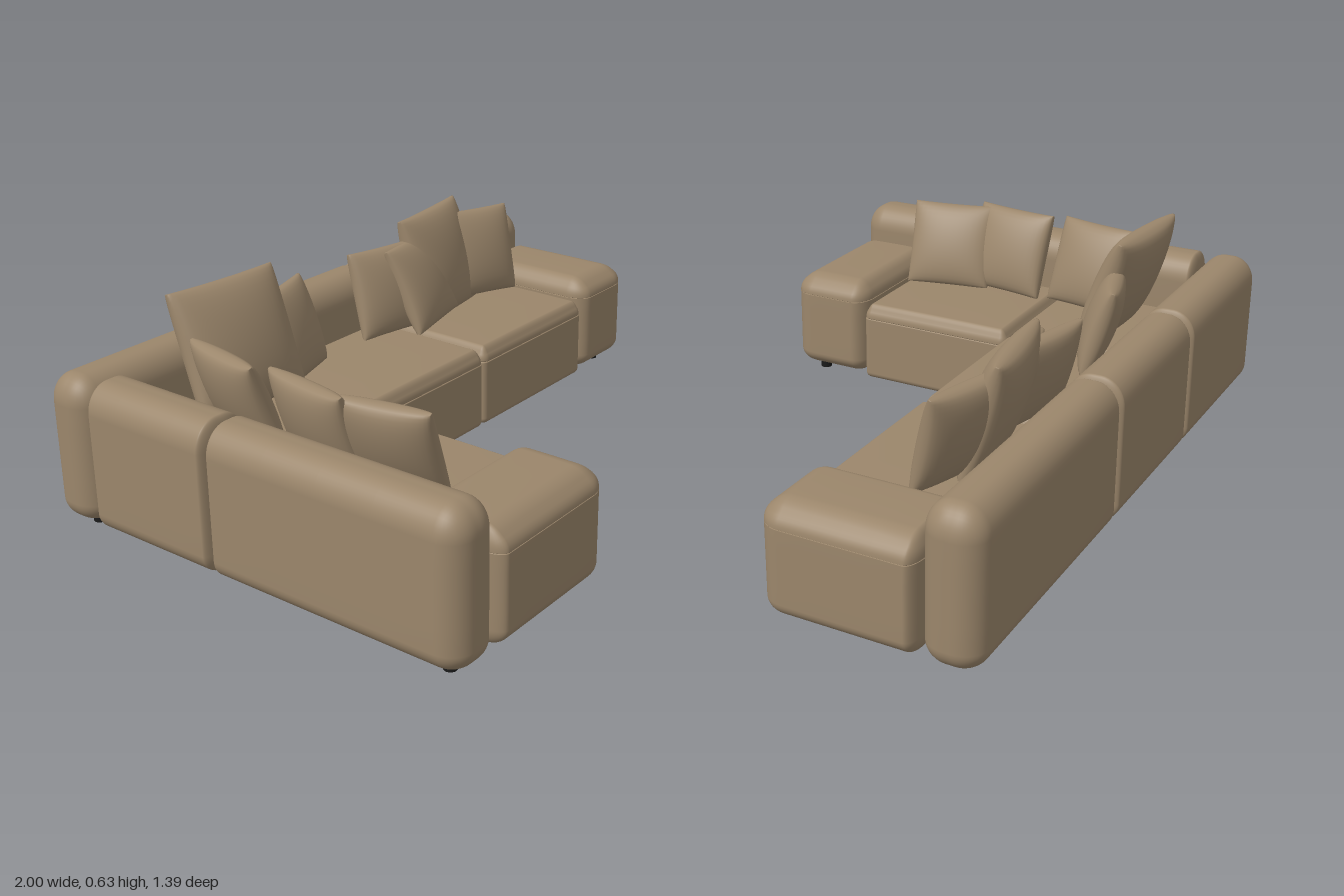
import * as THREE from 'three';
import { mergeVertices } from 'three/addons/utils/BufferGeometryUtils.js';

const fabric = new THREE.MeshStandardMaterial({ color: 0x9b866b });
fabric.name = 'taupe fabric';
const black = new THREE.MeshStandardMaterial({ color: 0x1a1a1a });
black.name = 'black plastic';

// Box grid with shared corners, so that reshaped surfaces shade smoothly
function smoothGrid(nx, ny, nz) {
  const g = new THREE.BoxGeometry(2, 2, 2, nx, ny, nz);
  g.deleteAttribute('uv');
  g.deleteAttribute('normal');
  return mergeVertices(g, 1e-4);
}

// Upholstered block: lo/hi corners, and a rounding radius for each of its six sides
function softBlock(lo, hi, rLo, rHi, crown = 0) {
  const K = 5, M = 4, N = 2 * K + M;
  const g = smoothGrid(N, N, N);
  const pos = g.attributes.position;
  for (let v = 0; v < pos.count; v++) {
    const raw = [pos.getX(v), pos.getY(v), pos.getZ(v)];
    const d = [], inner = [], r = [];
    raw.forEach((c, a) => {
      const i = Math.round((c + 1) / 2 * N);
      const low = lo[a] + rLo[a], high = hi[a] - rHi[a];
      const t = THREE.MathUtils.clamp((i - K) / M, 0, 1);
      inner[a] = low + (high - low) * t;
      r[a] = i <= K ? rLo[a] : rHi[a];
      if (i < K) d[a] = -Math.tan((K - i) / K * Math.PI / 4);
      else if (i > K + M) d[a] = Math.tan((i - K - M) / K * Math.PI / 4);
      else d[a] = 0;
    });
    const len = Math.hypot(...d);
    const p = inner.map((c, a) => c + d[a] / len * r[a]);
    if (d[1] > 0) p[1] += crown * (1 - raw[0] ** 2) * (1 - raw[2] ** 2);
    pos.setXYZ(v, ...p);
  }
  g.computeVertexNormals();
  return g;
}

// Square pillow: bulging faces, drawn-in sides and a thin seam rim
function pillowGeometry(size, thick) {
  const g = smoothGrid(18, 18, 1);
  const pos = g.attributes.position;
  for (let v = 0; v < pos.count; v++) {
    const x = Math.sin(pos.getX(v) * Math.PI / 2), y = Math.sin(pos.getY(v) * Math.PI / 2);
    const fx = 1 - x * x, fy = 1 - y * y;
    const bulge = Math.pow(Math.max(fx * fy, 0), 0.42);
    pos.setXYZ(v,
      x * size / 2 * (1 - 0.05 * fy - 0.03 * x * x * y * y),
      y * size / 2 * (1 - 0.05 * fx - 0.03 * x * x * y * y),
      Math.sign(pos.getZ(v)) * (0.004 + thick / 2 * bulge));
  }
  g.computeVertexNormals();
  return g;
}

export function createModel() {
  const model = new THREE.Group();
  const add = (name, geometry, material = fabric, parent = model) => {
    const mesh = new THREE.Mesh(geometry, material);
    mesh.name = name;
    parent.add(mesh);
    return mesh;
  };

  // Backrests along the rear: x from, x to, end radii
  [[-1, -0.373, 0.065, 0.02], [-0.371, 0.174, 0.02, 0.02], [0.176, 1, 0.02, 0.065]].forEach(([x0, x1, r0, r1], i) =>
    add('rearBackrest' + (i + 1),
      softBlock([x0, 0.022, -0.695], [x1, 0.448, -0.533], [r0, 0.06, 0.07], [r1, 0.08, 0.07])));

  // Backrests along the right side: z from, z to, end radii
  [[-0.53, -0.097, 0.02, 0.02], [-0.095, 0.692, 0.02, 0.07]].forEach(([z0, z1, r0, r1], i) =>
    add('sideBackrest' + (i + 1),
      softBlock([-1, 0.022, z0], [-0.834, 0.448, z1], [0.07, 0.06, r0], [0.07, 0.08, r1])));

  // Seats: base with a low top pad, parted by a seam
  [[-0.832, -0.373, -0.53, -0.097], [-0.371, 0.174, -0.53, -0.097],
    [0.176, 0.722, -0.53, -0.097], [-0.832, -0.373, -0.093, 0.419]].forEach(([x0, x1, z0, z1], i) => {
    const seat = new THREE.Group();
    seat.name = 'seat' + (i + 1);
    model.add(seat);
    add('seatBase', softBlock([x0, 0.022, z0], [x1, 0.234, z1], [0.02, 0.02, 0.02], [0.02, 0.005, 0.02]), fabric, seat);
    add('seatPad', softBlock([x0, 0.229, z0], [x1, 0.268, z1], [0.025, 0.005, 0.025], [0.025, 0.032, 0.025], 0.014), fabric, seat);
  });

  // Low broad arms with domed tops: corners, then plan radii at each side
  [['leftArm', 0.724, 1, -0.53, -0.093, 0.05, 0.075, 0.03, 0.07],
    ['frontArm', -0.832, -0.37, 0.421, 0.692, 0.03, 0.075, 0.05, 0.07]].forEach(([name, x0, x1, z0, z1, rx0, rx1, rz0, rz1]) => {
    const arm = new THREE.Group();
    arm.name = name;
    model.add(arm);
    add('armBody', softBlock([x0, 0.022, z0], [x1, 0.28, z1], [rx0, 0.05, rz0], [rx1, 0.004, rz1]), fabric, arm);
    add('armTop', softBlock([x0, 0.275, z0], [x1, 0.332, z1], [rx0, 0.004, rz0], [rx1, 0.052, rz1], 0.01), fabric, arm);
  });

  // Loose pillows: x, y, z of centre, size, yaw, backward lean, roll
  const side = Math.PI / 2;
  [[-0.545, 0.455, -0.415, 0.38, -0.08, 0.35, 0],
    [-0.31, 0.41, -0.435, 0.28, 0.3, 0.3, 0],
    [0.15, 0.41, -0.445, 0.28, -0.2, 0.27, 0],
    [0.275, 0.41, -0.415, 0.29, 0.2, 0.4, 0.03],
    [0.405, 0.437, -0.45, 0.355, 0.15, 0.27, 0],
    [0.575, 0.425, -0.43, 0.295, -0.3, 0.27, -0.03],
    [-0.735, 0.41, -0.228, 0.285, side - 0.2, 0.35, 0],
    [-0.755, 0.41, 0.075, 0.285, side - 0.15, 0.32, 0],
    [-0.725, 0.405, 0.28, 0.285, side + 0.2, 0.38, 0]].forEach(([x, y, z, size, yaw, lean, roll], i) => {
    const pillow = add('pillow' + (i + 1), pillowGeometry(size, size * 0.33));
    pillow.position.set(x, y, z);
    pillow.rotation.set(-lean, yaw, roll, 'YXZ');
  });

  // Short round feet
  const footGeometry = new THREE.CylinderGeometry(0.018, 0.018, 0.03, 20);
  [[-0.92, 0.61], [-0.44, 0.61], [-0.92, -0.61], [-0.45, -0.61], [-0.3, -0.17], [0.175, -0.17],
    [0.175, -0.61], [0.725, -0.17], [0.91, -0.17], [0.91, -0.61]].forEach(([x, z], i) =>
    add('foot' + (i + 1), footGeometry, black).position.set(x, 0.015, z));

  return model;
}
